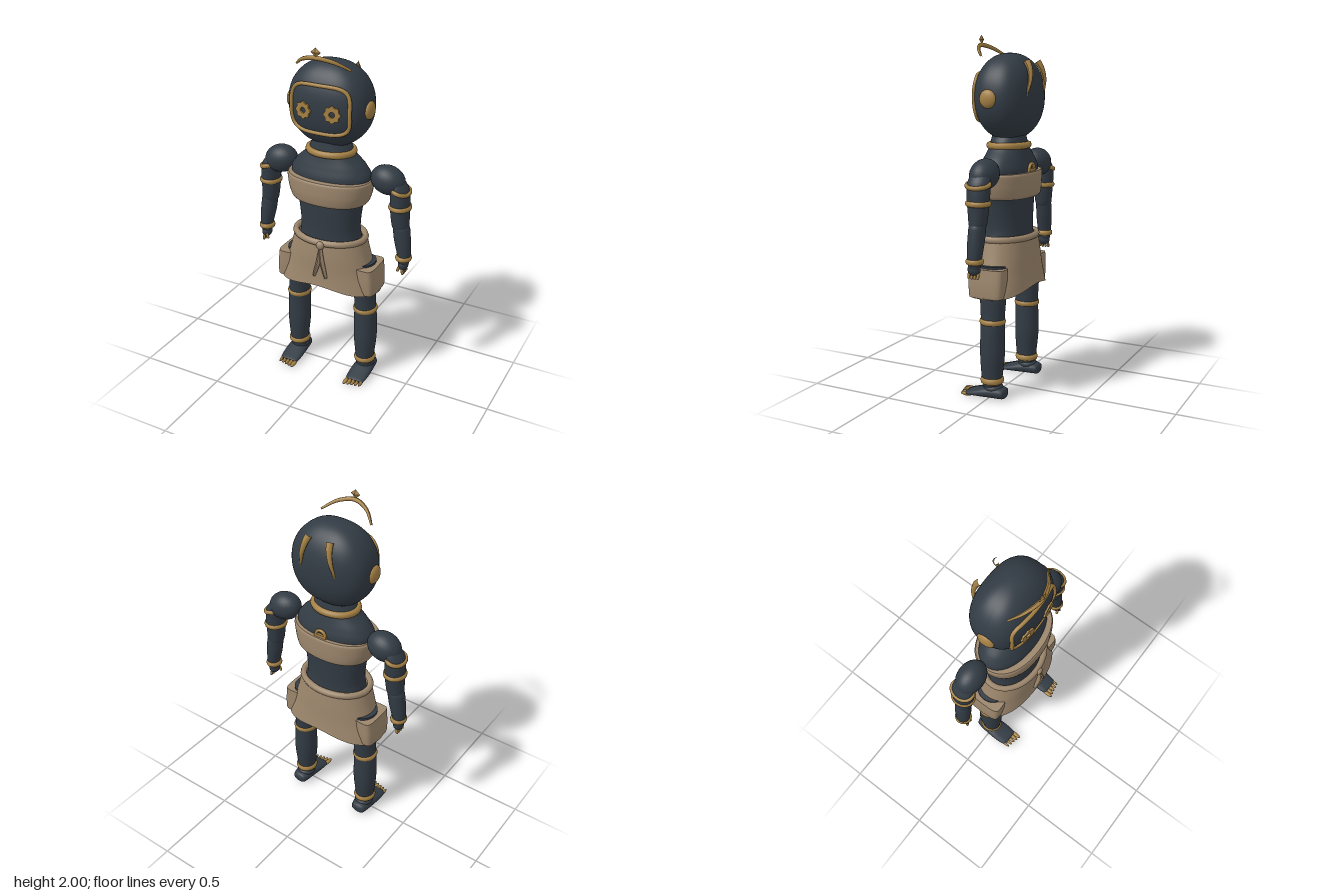
import * as THREE from 'three';

const mat = (name, color) => Object.assign(new THREE.MeshStandardMaterial({ color }), { name });
const V = (x, y, z) => new THREE.Vector3(x, y, z);

export function createModel() {
  const dark = mat('dark slate', 0x323b44), gold = mat('old gold', 0xa58144), cloth = mat('tan cloth', 0x9c866c);
  cloth.side = THREE.DoubleSide; // the skirt is open below
  const root = new THREE.Group();
  const add = (name, geo, material, x = 0, y = 0, z = 0) => {
    const m = new THREE.Mesh(geo, material);
    m.name = name;
    m.position.set(x, y, z);
    root.add(m);
    return m;
  };

  // Smooth body through elliptical sections [x, y, z, rx, rz], listed bottom to top
  const loft = (sections, { s = 1, n = 2, caps = true, rows = 20, seg = 32 } = {}) => {
    const mid = new THREE.CatmullRomCurve3(sections.map(c => V(c[0] * s, c[1], c[2])));
    const rad = new THREE.CatmullRomCurve3(sections.map(c => V(c[3], c[4], 0)));
    const pos = [], idx = [];
    for (let i = 0; i <= rows; i++) {
      const p = mid.getPoint(i / rows), r = rad.getPoint(i / rows);
      for (let j = 0; j < seg; j++) {
        const a = j / seg * Math.PI * 2, c = Math.cos(a), d = Math.sin(a);
        pos.push(p.x + r.x * Math.sign(c) * Math.abs(c) ** (2 / n), p.y, p.z + r.y * Math.sign(d) * Math.abs(d) ** (2 / n));
        const k = (j + 1) % seg, q = i * seg;
        if (i < rows) idx.push(q + j, q + seg + j, q + k, q + k, q + seg + j, q + seg + k);
      }
    }
    if (caps) {
      // separate rim vertices keep the end caps crisp
      for (const i of [0, rows]) {
        const b = pos.length / 3, p = mid.getPoint(i / rows);
        pos.push(...pos.slice(i * seg * 3, (i + 1) * seg * 3), p.x, p.y, p.z);
        for (let j = 0; j < seg; j++) {
          const k = b + (j + 1) % seg;
          if (i) idx.push(b + j, b + seg, k);
          else idx.push(b + j, k, b + seg);
        }
      }
    }
    const g = new THREE.BufferGeometry();
    g.setAttribute('position', new THREE.Float32BufferAttribute(pos, 3));
    g.setIndex(idx);
    g.computeVertexNormals();
    return g;
  };

  // Elliptical band around the body or a limb
  const band = (name, material, x, y, z, rx, rz, r, tall = 1.3, tilt = 0) => {
    const pts = Array.from({ length: 24 }, (_, i) => V(rx * Math.cos(i * Math.PI / 12), 0, rz * Math.sin(i * Math.PI / 12)));
    const g = new THREE.TubeGeometry(new THREE.CatmullRomCurve3(pts, true), 40, r, 8, true).scale(1, tall, 1);
    add(name, g, material, x, y, z).rotation.z = tilt;
  };

  // Tube whose thickness follows a rule along its length
  const taper = (pts, r, f) => {
    const curve = new THREE.CatmullRomCurve3(pts), n = 24, m = 8;
    const g = new THREE.TubeGeometry(curve, n, r, m), p = g.attributes.position, v = V(0, 0, 0);
    for (let i = 0; i <= n; i++) {
      const c = curve.getPointAt(i / n);
      for (let j = 0; j <= m; j++) {
        v.fromBufferAttribute(p, i * (m + 1) + j).sub(c).multiplyScalar(f(i / n)).add(c);
        p.setXYZ(i * (m + 1) + j, v.x, v.y, v.z);
      }
    }
    g.computeVertexNormals();
    return g;
  };
  const ball = (rx, ry, rz) => new THREE.SphereGeometry(1, 24, 14).scale(rx, ry, rz);

  // Head: a sphere squared off into a rounded helmet
  const HY = 1.665, HZ = -0.012, A = 0.237, B = 0.237, C = 0.165, N = 2.5, M = 2.15;
  const pw = (v, e) => Math.sign(v) * Math.abs(v) ** e;
  const headGeo = new THREE.SphereGeometry(1, 56, 36), hp = headGeo.attributes.position;
  for (let i = 0; i < hp.count; i++) {
    const y = hp.getY(i), h = Math.hypot(hp.getX(i), hp.getZ(i)), k = h ** (2 / M), d = h || 1;
    hp.setXYZ(i, A * k * pw(hp.getX(i) / d, 2 / N), B * pw(y, 2 / M), C * k * pw(hp.getZ(i) / d, 2 / N));
  }
  headGeo.computeVertexNormals();
  add('head', headGeo, dark, 0, HY, HZ);
  const faceZ = (x, y) => HZ + C * Math.max(0, (1 - Math.abs((y - HY) / B) ** M) ** (N / M) - Math.abs(x / A) ** N) ** (1 / N);

  // Face frame lying on the helmet
  const frame = Array.from({ length: 48 }, (_, i) => {
    const a = i / 48 * Math.PI * 2, x = 0.172 * pw(Math.cos(a), 0.5), y = 1.663 + 0.131 * pw(Math.sin(a), 0.5);
    return V(x, y, faceZ(x, y) + 0.004);
  });
  add('faceFrame', new THREE.TubeGeometry(new THREE.CatmullRomCurve3(frame, true), 96, 0.011, 8, true), gold);

  // Crown arc and its diamond finial
  add('crownArc', taper([V(-0.158, 1.88, 0.082), V(-0.09, 1.925, 0.135), V(0, 1.945, 0.162), V(0.09, 1.925, 0.135), V(0.158, 1.88, 0.082)],
    0.012, t => 0.5 + 0.5 * Math.sin(Math.PI * t)), gold);
  add('crownDiamond', new THREE.OctahedronGeometry(1).scale(0.029, 0.025, 0.011), gold, 0, 1.975, 0.165);

  // Torso, neck ring, chest wrap and back clasp
  add('torso', loft([[0, 0.66, 0, 0.1, 0.07], [0, 0.74, 0, 0.2, 0.12], [0, 0.85, 0, 0.19, 0.13], [0, 0.95, 0, 0.174, 0.127], [0, 1.1, 0, 0.19, 0.13],
    [0, 1.2, -0.003, 0.228, 0.138], [0, 1.27, -0.005, 0.237, 0.135], [0, 1.33, -0.006, 0.203, 0.118], [0, 1.39, -0.006, 0.138, 0.1], [0, 1.48, -0.006, 0.09, 0.085]],
    { n: 2.15, rows: 45, seg: 48 }), dark);
  band('neckRing', gold, 0, 1.4, -0.005, 0.13, 0.102, 0.018, 1.1);
  add('chestWrap', loft([[0, 1.118, 0, 0.218, 0.155], [0, 1.13, 0, 0.226, 0.163], [0, 1.18, 0.002, 0.242, 0.169], [0, 1.245, 0.002, 0.252, 0.168], [0, 1.258, 0.002, 0.246, 0.162]],
    { n: 2.25, seg: 48 }), cloth);
  add('backClasp', new THREE.TorusGeometry(0.03, 0.009, 8, 20, Math.PI), gold, 0, 1.272, -0.145);
  add('claspBar', new THREE.BoxGeometry(0.078, 0.016, 0.014), gold, 0, 1.268, -0.145);

  // Skirt with the hem lifted in the middle of front and back
  const skirtGeo = loft([[0, 0.585, -0.003, 0.31, 0.176], [0, 0.62, -0.003, 0.3, 0.172], [0, 0.7, -0.002, 0.268, 0.166], [0, 0.8, 0, 0.238, 0.162], [0, 0.9, 0, 0.212, 0.152]],
    { n: 2.15, caps: false, seg: 64 });
  const sp = skirtGeo.attributes.position;
  for (let i = 0; i < sp.count; i++) {
    const t = (0.9 - sp.getY(i)) / 0.315, a = Math.atan2(sp.getZ(i) / 0.176, sp.getX(i) / 0.31);
    sp.setY(i, sp.getY(i) + 0.042 * t * t * Math.sin(a) ** 6);
  }
  skirtGeo.computeVertexNormals();
  add('skirt', skirtGeo, cloth);
  band('belt', cloth, 0, 0.895, 0.003, 0.209, 0.15, 0.018, 1.1);
  add('beltKnot', ball(0.024, 0.024, 0.016), cloth, 0.02, 0.887, 0.168);
  for (const [mx, ex] of [[0.012, -0.018], [0.036, 0.058]])
    add('beltRibbon', taper([V(0.022, 0.885, 0.168), V(mx, 0.79, 0.175), V(ex, 0.69, 0.172)], 0.013, t => 0.55 + 0.45 * Math.sin(t * 2.9)), cloth);

  for (const s of [1, -1]) {
    const side = s > 0 ? 'left' : 'right';
    const part = (name, geo, m, x = 0, y = 0, z = 0) => add(side + name, geo, m, x * s, y, z);

    // Scalloped ring eye
    const eye = new THREE.Shape(Array.from({ length: 64 }, (_, i) => {
      const a = i / 64 * Math.PI * 2, r = 0.044 + 0.004 * Math.cos(8 * a);
      return new THREE.Vector2(r * Math.cos(a), r * Math.sin(a));
    }));
    eye.holes.push(new THREE.Path().absarc(0, 0, 0.016, 0, Math.PI * 2, true));
    part('Eye', new THREE.ExtrudeGeometry(eye, { depth: 0.009, bevelEnabled: false }), gold, 0.084, 1.655, faceZ(0.084, 1.655) - 0.001).rotation.y = s * 0.14;

    // Ear disc and back crest
    part('Ear', ball(0.024, 0.05, 0.05), gold, 0.231, 1.66, 0.005);
    part('BackCrest', taper([V(0.066 * s, 1.855, -0.145), V(0.075 * s, 1.82, -0.165), V(0.09 * s, 1.76, -0.176), V(0.108 * s, 1.675, -0.162)],
      0.02, t => Math.max(0.15, 1 - 0.75 * t)), gold);

    // Arm
    part('Shoulder', ball(0.1, 0.081, 0.076), dark, 0.332, 1.273, -0.028).rotation.z = -0.25 * s;
    part('UpperArm', loft([[0.417, 0.98, -0.03, 0.035, 0.035], [0.413, 1.02, -0.03, 0.049, 0.048], [0.408, 1.09, -0.03, 0.053, 0.056], [0.406, 1.16, -0.03, 0.055, 0.063],
      [0.4, 1.23, -0.03, 0.052, 0.064], [0.375, 1.29, -0.03, 0.04, 0.05]], { s }), dark);
    part('Forearm', loft([[0.443, 0.79, -0.025, 0.028, 0.033], [0.443, 0.84, -0.025, 0.037, 0.04], [0.428, 0.94, -0.028, 0.047, 0.046], [0.42, 1.0, -0.03, 0.048, 0.046],
      [0.415, 1.04, -0.03, 0.034, 0.034]], { s }), dark);
    band(side + 'UpperArmlet', gold, 0.408 * s, 1.228, -0.03, 0.05, 0.064, 0.01, 1.3, -0.28 * s);
    band(side + 'LowerArmlet', gold, 0.407 * s, 1.13, -0.03, 0.054, 0.06, 0.01, 1.5);
    band(side + 'WristBand', gold, 0.441 * s, 0.828, -0.025, 0.036, 0.039, 0.01, 1.6);
    part('Hand', ball(0.028, 0.034, 0.037), dark, 0.442, 0.785, -0.022);
    for (let i = 0; i < 4; i++)
      part('Finger' + (i + 1), new THREE.CapsuleGeometry(0.0075, 0.026 - 0.004 * Math.abs(i - 1.4), 4, 10), gold, 0.448, 0.752, 0.006 - 0.018 * i).rotation.z = 0.2 * s;
    part('Thumb', new THREE.CapsuleGeometry(0.008, 0.02, 4, 10), gold, 0.424, 0.765, 0.006).rotation.z = -0.3 * s;

    // Skirt pocket
    part('Pocket', loft([[0.25, 0.58, -0.003, 0.04, 0.08], [0.252, 0.592, -0.003, 0.057, 0.1], [0.252, 0.66, -0.003, 0.057, 0.104], [0.248, 0.748, -0.003, 0.052, 0.104]],
      { s, n: 4.5 }), cloth);

    // Leg
    part('Leg', loft([[0.223, 0.07, -0.012, 0.048, 0.05], [0.223, 0.13, -0.011, 0.055, 0.06], [0.222, 0.28, -0.014, 0.068, 0.07], [0.221, 0.4, -0.014, 0.066, 0.068],
      [0.218, 0.47, -0.014, 0.062, 0.068], [0.214, 0.58, -0.014, 0.064, 0.075], [0.2, 0.76, -0.01, 0.075, 0.085]], { s, rows: 30 }), dark);
    band(side + 'KneeBand', gold, 0.22 * s, 0.445, -0.014, 0.061, 0.064, 0.01, 1.6);
    band(side + 'AnkleBand', gold, 0.223 * s, 0.106, -0.012, 0.053, 0.056, 0.011, 1.7);

    // Foot, lofted from heel to toe, with ankle and toes
    part('Foot', loft([[0.225, -0.1, -0.034, 0.02, 0.015], [0.225, -0.09, -0.036, 0.044, 0.029], [0.225, -0.04, -0.04, 0.055, 0.034], [0.225, 0.02, -0.036, 0.06, 0.031],
      [0.224, 0.08, -0.026, 0.061, 0.021], [0.223, 0.128, -0.018, 0.055, 0.013], [0.223, 0.138, -0.017, 0.045, 0.008]], { s, n: 2.3 }).rotateX(Math.PI / 2), dark);
    part('Ankle', ball(0.055, 0.03, 0.056), dark, 0.223, 0.062, -0.02);
    for (let i = 0; i < 5; i++)
      part('Toe' + (i + 1), ball(0.0125 - 0.001 * i, 0.0115, 0.036), gold, 0.178 + 0.0225 * i, 0.013, 0.15 - 0.005 * i);
  }
  return root;
}
